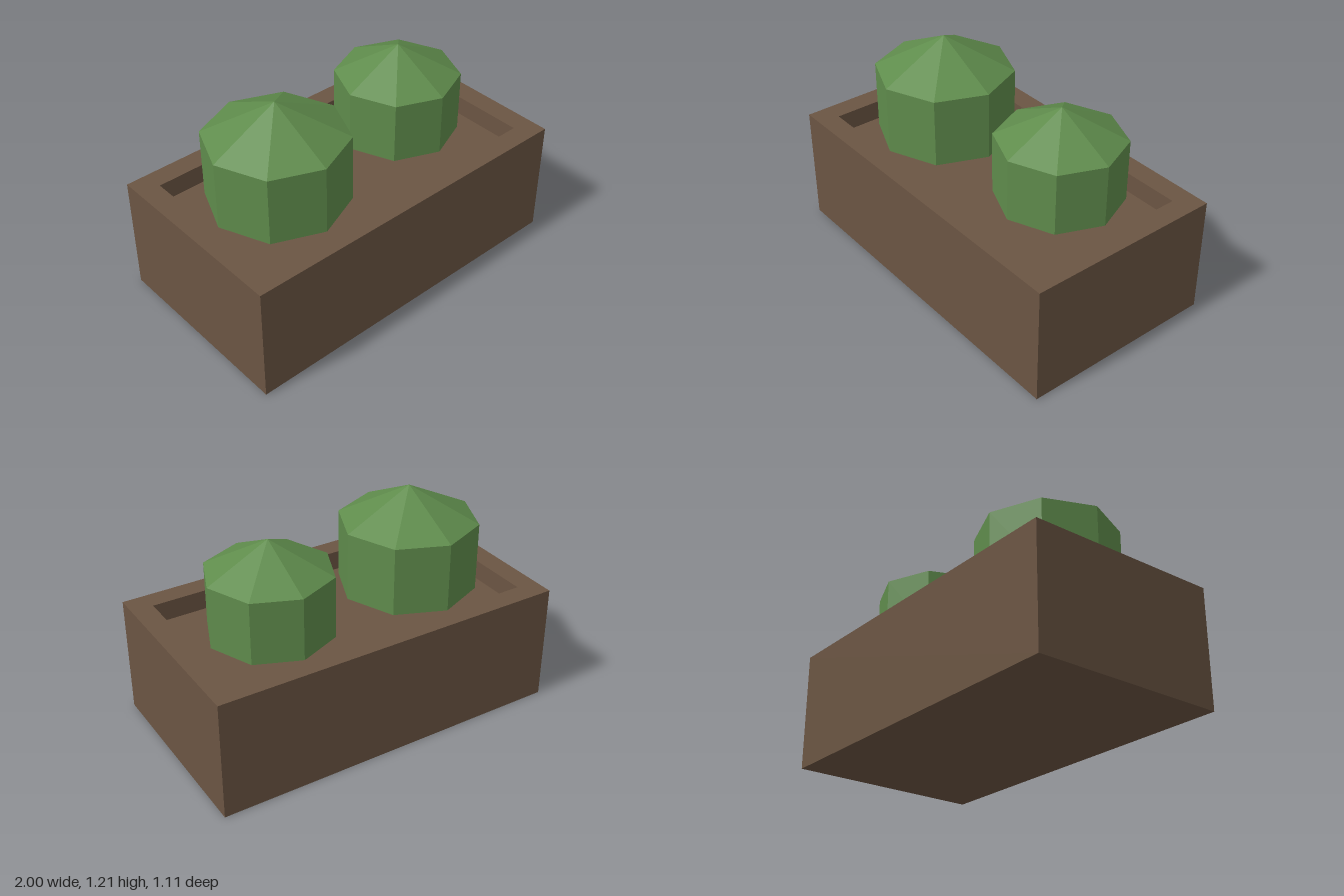
import * as THREE from 'three';

export function createModel() {
  const group = new THREE.Group();
  const brown = new THREE.MeshStandardMaterial({ name: 'brown', color: 0x6b5543, flatShading: true });
  const green = new THREE.MeshStandardMaterial({ name: 'leafGreen', color: 0x5f8c4c, flatShading: true });

  function add(name, geometry, material, x = 0, y = 0, z = 0) {
    const mesh = new THREE.Mesh(geometry, material);
    mesh.name = name;
    mesh.position.set(x, y, z);
    group.add(mesh);
    return mesh;
  }

  const rectangle = (path, w, d) => path
    .moveTo(-w, -d).lineTo(w, -d).lineTo(w, d).lineTo(-w, d).closePath();

  // Planter walls: a rectangular frame
  const frame = new THREE.Shape();
  rectangle(frame, 1, 0.555);
  const opening = new THREE.Path();
  rectangle(opening, 0.878, 0.435);
  frame.holes.push(opening);
  const walls = new THREE.ExtrudeGeometry(frame, { depth: 0.667, bevelEnabled: false });
  walls.rotateX(-Math.PI / 2);
  add('planterWalls', walls, brown);

  // Soil fills the frame to just below the rim
  add('soil', new THREE.BoxGeometry(1.756, 0.556, 0.87), brown, 0, 0.278, 0);

  // Bushes: faceted, slightly flattened spheres
  function bush(name, radius, height, x, y, z) {
    add(name, new THREE.SphereGeometry(1, 8, 3), green, x, y, z).scale.set(radius, height, radius);
  }
  bush('largeBush', 0.443, 0.387, -0.445, 0.826, 0);
  bush('smallBush', 0.397, 0.347, 0.443, 0.811, -0.056);

  return group;
}
